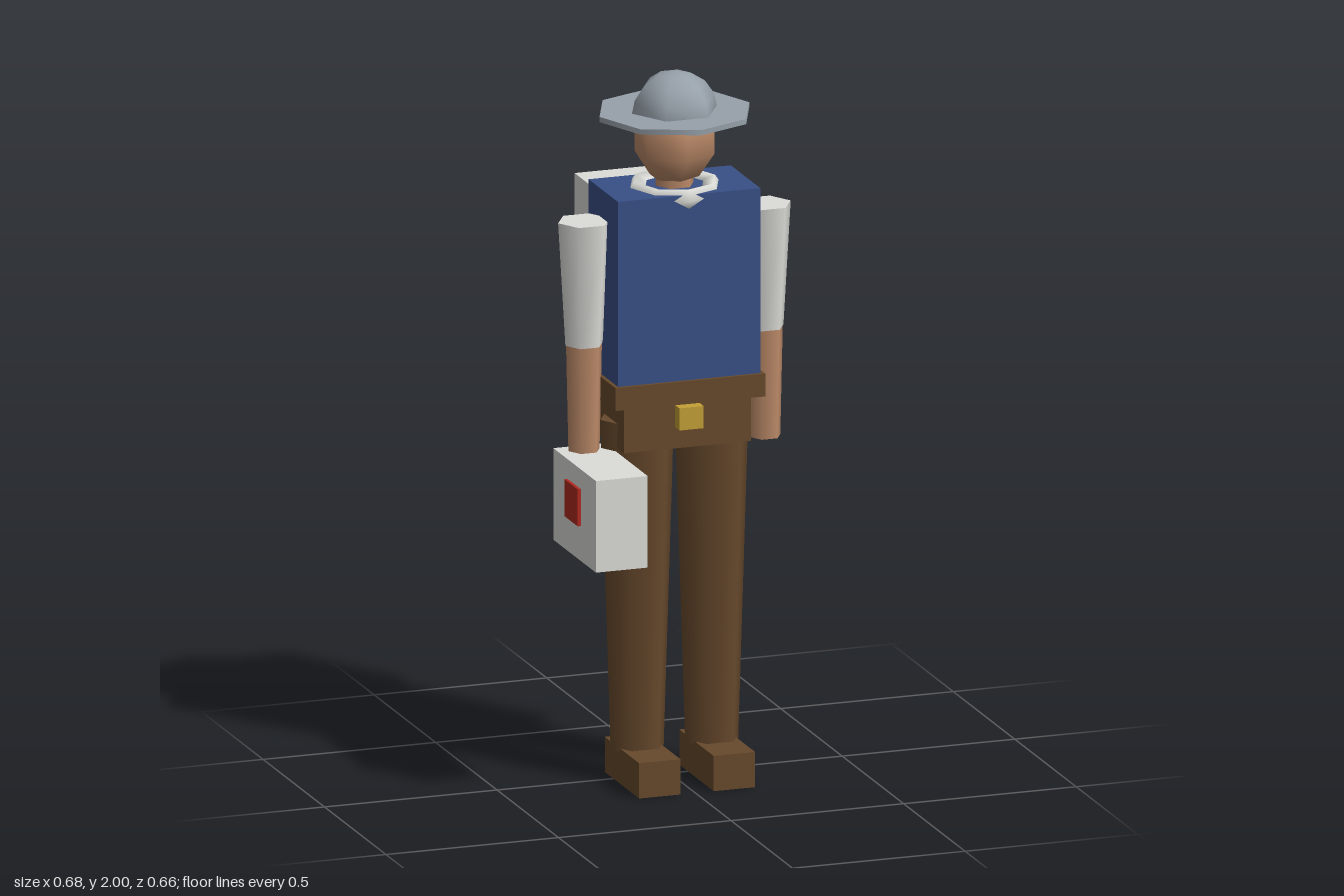
import * as THREE from 'three';

const mat = (name, color, extra = {}) => new THREE.MeshStandardMaterial({ name, color, ...extra });

export function createModel() {
  const white = mat('off white', 0xdcdcd8);
  const blue = mat('blue cloth', 0x384f86);
  const brown = mat('brown leather', 0x67492c);
  const skin = mat('skin', 0xbd8b69);
  const steel = mat('grey steel', 0x97a1aa);
  const gold = mat('gold', 0xc4a036);
  const red = mat('red', 0xb02a20);

  const model = new THREE.Group();
  model.name = 'figure';
  // The figure stands slightly off the centre of the whole model
  const body = new THREE.Group();
  body.name = 'body';
  body.position.set(0.005, 0, 0.025);
  model.add(body);

  const add = (parent, name, geometry, material, x = 0, y = 0, z = 0) => {
    const mesh = new THREE.Mesh(geometry, material);
    mesh.name = name;
    mesh.position.set(x, y, z);
    parent.add(mesh);
    return mesh;
  };
  // Box from its extents
  const box = (parent, name, material, [x0, x1], [y0, y1], [z0, z1]) =>
    add(parent, name, new THREE.BoxGeometry(x1 - x0, y1 - y0, z1 - z0), material,
      (x0 + x1) / 2, (y0 + y1) / 2, (z0 + z1) / 2);
  // Tapered six-sided limb with its corners pointing along x
  const limb = (name, material, rTop, rBottom, yTop, yBottom, x = 0) =>
    add(body, name, new THREE.CylinderGeometry(rTop, rBottom, yTop - yBottom, 6).rotateY(Math.PI / 6),
      material, x, (yTop + yBottom) / 2, 0);

  // Torso, belt, hips and buckle
  box(body, 'torso', blue, [-0.206, 0.206], [1.14, 1.68], [-0.12, 0.12]);
  box(body, 'belt', brown, [-0.217, 0.217], [1.09, 1.155], [-0.13, 0.13]);
  box(body, 'hips', brown, [-0.184, 0.184], [0.96, 1.09], [-0.105, 0.105]);
  box(body, 'buckle', gold, [-0.035, 0.035], [1.02, 1.083], [0.1, 0.14]);

  // Mirrored limbs
  for (const [side, s] of [['left', 1], ['right', -1]]) {
    limb(side + 'Leg', brown, 0.107, 0.077, 1.03, 0.09, s * 0.108);
    box(body, side + 'Shoe', brown, [s * 0.108 - 0.06, s * 0.108 + 0.06], [0, 0.1], [-0.095, 0.185]);
    limb(side + 'Sleeve', white, 0.075, 0.054, 1.6, 1.25, s * 0.262);
    limb(side + 'Forearm', skin, 0.052, 0.045, 1.25, 0.94, s * 0.262);
  }

  // Neck and scarf ring
  limb('neck', skin, 0.055, 0.055, 1.76, 1.66);
  add(body, 'collar', new THREE.TorusGeometry(0.108, 0.03, 5, 8).rotateX(Math.PI / 2), white, 0, 1.666, 0);

  // Faceted head, corners pointing along z
  const head = add(body, 'head', new THREE.SphereGeometry(1, 6, 5).rotateY(Math.PI / 6), skin, 0, 1.81, 0);
  head.scale.set(0.118, 0.13, 0.111);

  // Helmet: domed crown on a flat eight-sided brim
  add(body, 'brim', new THREE.CylinderGeometry(0.217, 0.217, 0.015, 8), steel, 0, 1.883, 0);
  add(body, 'crown', new THREE.SphereGeometry(0.125, 6, 4, 0, Math.PI * 2, 0, Math.PI / 2), steel, 0, 1.88, 0)
    .scale.y = 0.96;

  // Backpack, hand case and the case's side marking
  box(model, 'backpack', white, [-0.158, 0.167], [1.18, 1.63], [-0.33, -0.138]);
  box(model, 'case', white, [-0.331, -0.181], [0.69, 0.95], [-0.017, 0.33]);
  box(model, 'caseMark', red, [-0.341, -0.332], [0.79, 0.895], [0.102, 0.21]);

  return model;
}
